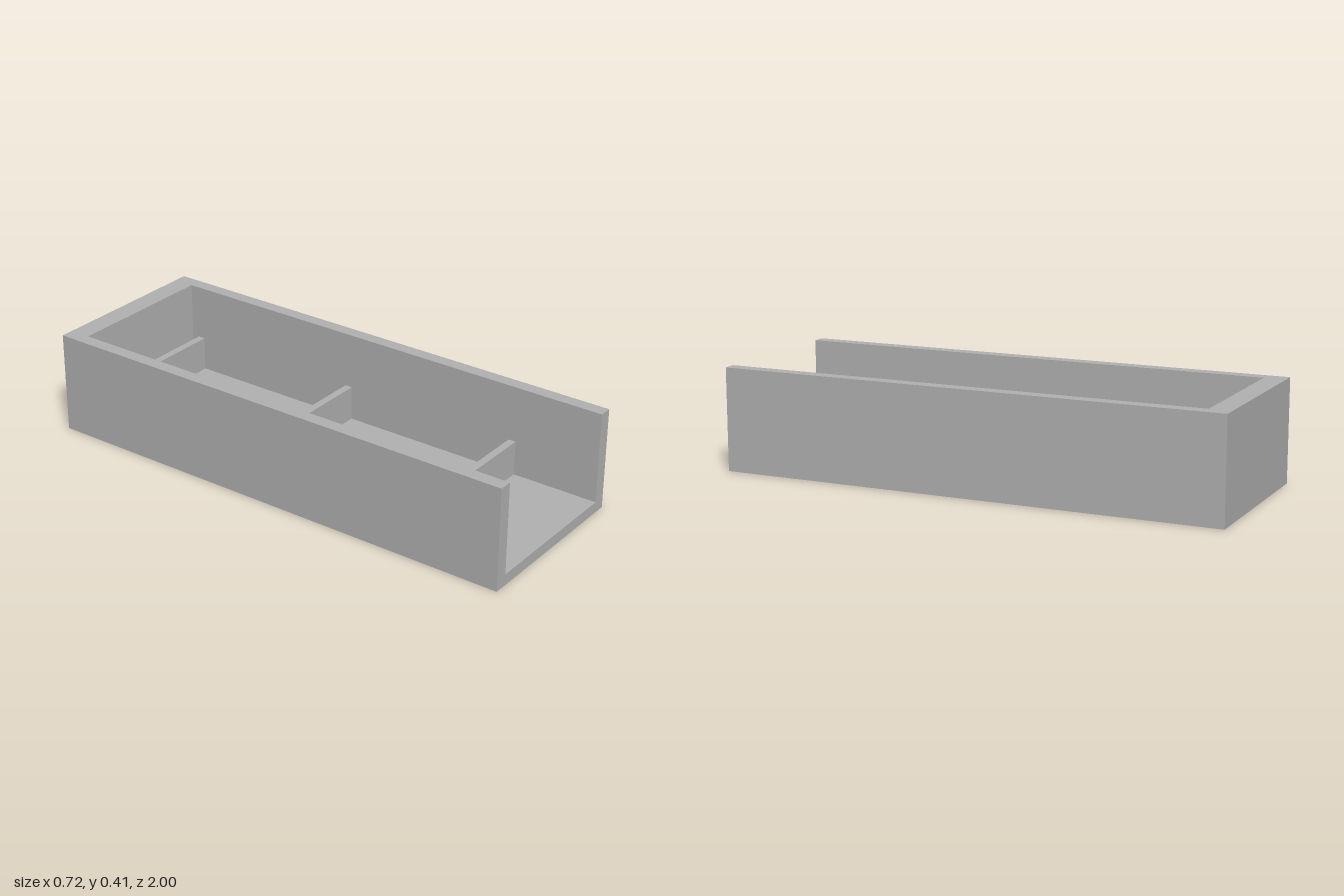
import * as THREE from 'three';

export function createModel() {
  const model = new THREE.Group();
  model.name = 'dividedTray';
  const grey = new THREE.MeshStandardMaterial({ color: 0xb2b2b2 });
  grey.name = 'grey';

  const halfWidth = 0.36, innerHalf = 0.308, height = 0.405, floorTop = 0.044;
  const backInner = -0.915;

  const add = (name, geometry, x, y, z) => {
    const mesh = new THREE.Mesh(geometry, grey);
    mesh.name = name;
    mesh.position.set(x, y, z);
    model.add(mesh);
  };

  // Channel: floor and both side walls as one U section, open at the front
  const section = new THREE.Shape([
    [-halfWidth, 0], [halfWidth, 0], [halfWidth, height], [innerHalf, height],
    [innerHalf, floorTop], [-innerHalf, floorTop], [-innerHalf, height], [-halfWidth, height],
  ].map(([x, y]) => new THREE.Vector2(x, y)));
  add('channel', new THREE.ExtrudeGeometry(section, { depth: 1 - backInner, bevelEnabled: false }), 0, 0, backInner);

  // Back wall closing the channel
  const backDepth = backInner + 1;
  add('backWall', new THREE.BoxGeometry(halfWidth * 2, height, backDepth), 0, height / 2, -1 + backDepth / 2);

  // Low cross dividers
  const dividerHeight = 0.182 - floorTop;
  [0.635, -0.118, -0.87].forEach((z, i) => {
    add(`divider${i + 1}`, new THREE.BoxGeometry(innerHalf * 2, dividerHeight, 0.03), 0, floorTop + dividerHeight / 2, z);
  });

  return model;
}
